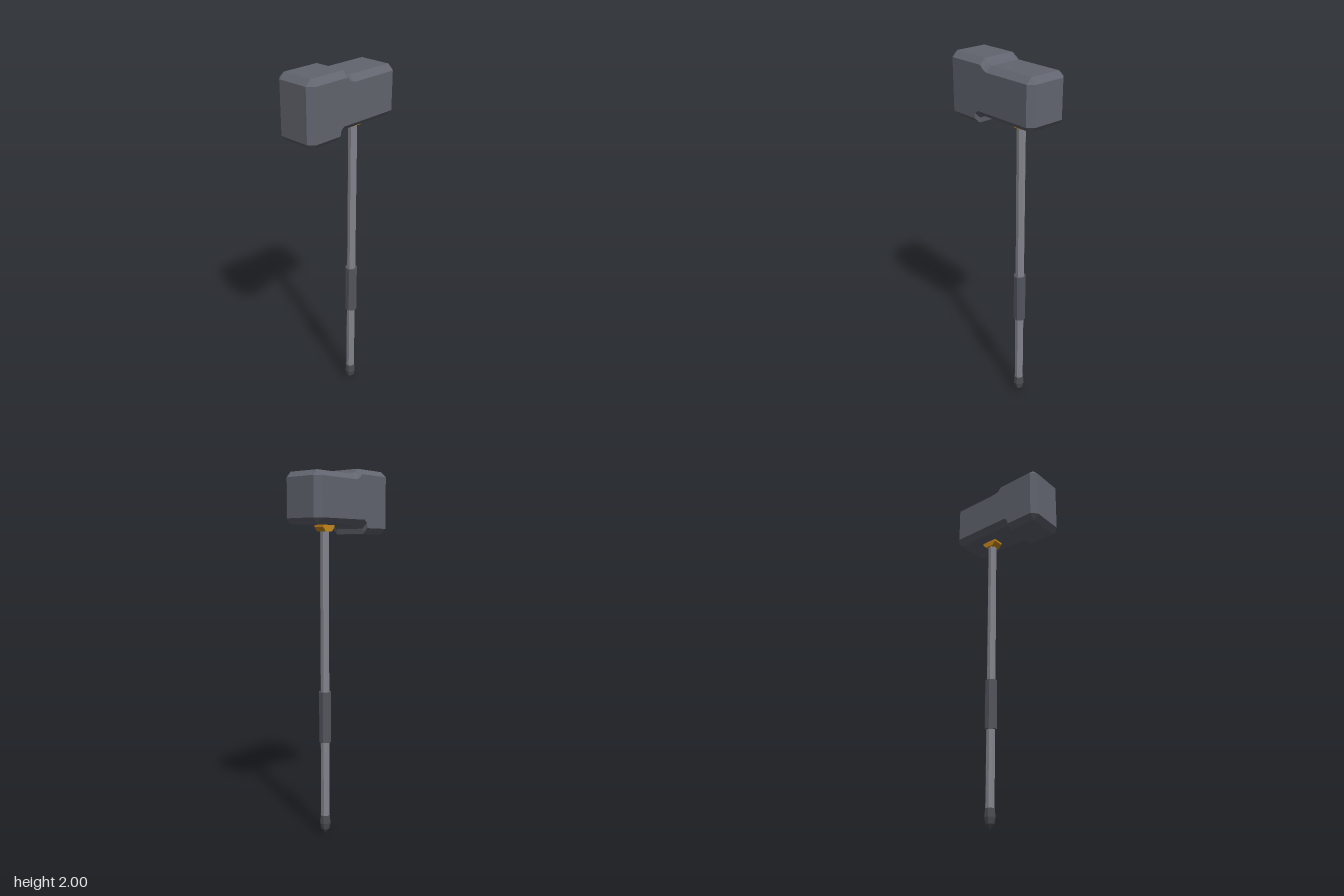
import * as THREE from 'three';

const material = (name, color) => {
  const m = new THREE.MeshStandardMaterial({ color, flatShading: true });
  m.name = name;
  return m;
};

// Closed body lofted along x through chamfered rectangles: [x, bottom, top, inner z, outer z, chamfer y]
function loftHead(sections) {
  const pos = [];
  const rings = sections.map(([x, b, t, zi, zo, c]) => [
    [t, -zi], [t, zi], [t - c, zo], [b + c, zo],
    [b, zi], [b, -zi], [b + c, -zo], [t - c, -zo],
  ].map(([y, z]) => [x, y, z]));
  const tri = (a, b, c) => pos.push(...a, ...b, ...c);
  for (let i = 0; i < rings.length - 1; i++) {
    const p = rings[i], q = rings[i + 1];
    for (let k = 0; k < 8; k++) {
      const n = (k + 1) % 8;
      tri(p[k], p[n], q[n]);
      tri(p[k], q[n], q[k]);
    }
  }
  const first = rings[0], last = rings[rings.length - 1];
  for (let k = 1; k < 7; k++) {
    tri(last[0], last[k], last[k + 1]);
    tri(first[0], first[k + 1], first[k]);
  }
  const g = new THREE.BufferGeometry();
  g.setAttribute('position', new THREE.Float32BufferAttribute(pos, 3));
  g.computeVertexNormals();
  return g;
}

export function createModel() {
  const model = new THREE.Group();
  model.name = 'hammer';
  const headMetal = material('head metal', 0x62656f);
  const shaftMetal = material('shaft metal', 0x85858f);
  const gripDark = material('dark grip', 0x54565e);
  const tipDark = material('dark tip', 0x4c4d52);
  const gold = material('gold', 0xc98a1c);

  const add = (name, geometry, mat, x = 0, y = 0) => {
    const mesh = new THREE.Mesh(geometry, mat);
    mesh.name = name;
    mesh.position.set(x, y, 0);
    model.add(mesh);
    return mesh;
  };

  // Head: large striking block stepping down to a smaller block
  const zi = 0.09, zo = 0.122, c = 0.03;
  add('head', loftHead([
    [-0.30, 1.69, 1.97, zi, zi, 0],
    [-0.27, 1.66, 2.00, zi, zo, c],
    [-0.105, 1.66, 2.00, zi, zo, c],
    [-0.10, 1.688, 2.00, zi, zo, c],
    [-0.08, 1.704, 2.00, zi, zo, c],
    [-0.055, 1.704, 2.00, zi, zo, c],
    [-0.035, 1.704, 1.98, zi, zo, c],
    [-0.01, 1.704, 1.97, zi, zo, c],
    [0.27, 1.704, 1.97, zi, zo, c],
    [0.30, 1.734, 1.94, zi, zi, 0],
  ]), headMetal);

  // Shaft and grip sleeve
  const sx = 0.11;
  const rod = (name, r, y0, y1, mat) => {
    const g = new THREE.CylinderGeometry(r, r, y1 - y0, 8);
    g.rotateY(Math.PI / 8);
    add(name, g, mat, sx, (y0 + y1) / 2);
  };
  rod('shaft', 0.025, 0.1, 1.72, shaftMetal);
  rod('grip', 0.035, 0.53, 0.81, gripDark);

  // Pointed pommel
  const profile = [[0, 0], [0.024, 0.032], [0.031, 0.065], [0.027, 0.11], [0, 0.11]];
  const tip = new THREE.LatheGeometry(profile.map(([r, y]) => new THREE.Vector2(r, y)), 8);
  tip.rotateY(Math.PI / 8);
  add('pommel', tip, tipDark, sx);

  // Tapered collar under the head
  const shape = new THREE.Shape([
    [-0.025, 1.67], [0.025, 1.67], [0.045, 1.692], [0.045, 1.71], [-0.045, 1.71], [-0.045, 1.692],
  ].map(([x, y]) => new THREE.Vector2(x, y)));
  const collar = new THREE.ExtrudeGeometry(shape, { depth: 0.06, bevelEnabled: false });
  collar.translate(0, 0, -0.03);
  add('collar', collar, gold, sx);

  return model;
}
